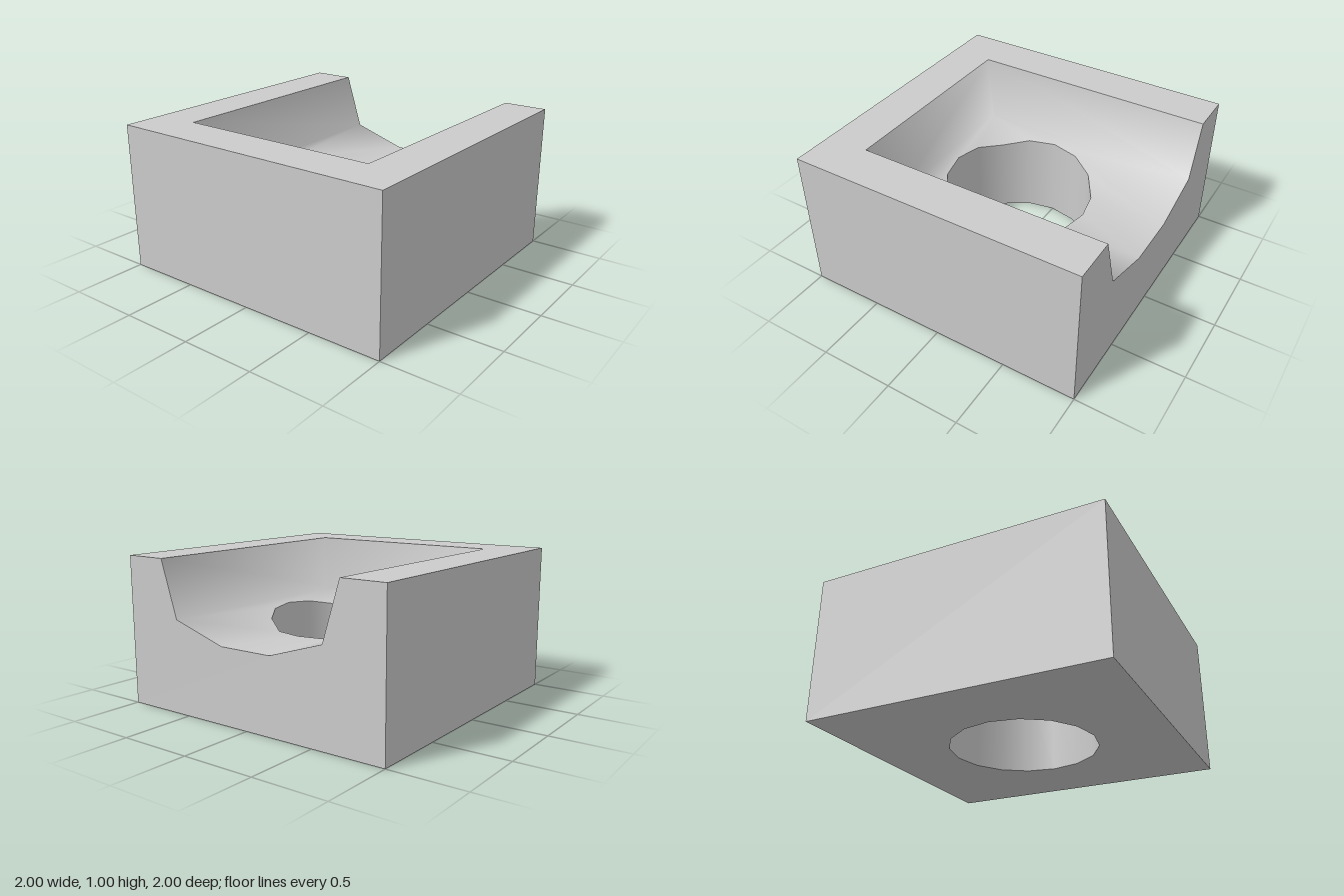
import * as THREE from 'three';
import { mergeGeometries, mergeVertices } from 'three/addons/utils/BufferGeometryUtils.js';

// half-section of the trough: distance from the centre, height
const A = 0.19134, B = 0.58, C = 0.7, R = 0.5;
const LOW = 0.5, MID = 0.62, TOP = 1;

function profile(d) {
  if (d <= A) return LOW;
  if (d <= B) return LOW + (MID - LOW) * (d - A) / (B - A);
  return MID + (TOP - MID) * (d - B) / (C - B);
}
// trough runs along z, open at the back and mitred into a front wall
const floorHeight = (x, z) => Math.max(profile(Math.abs(x)), profile(Math.max(z, 0)));

const shapeOf = (pts) => new THREE.Shape(pts.map(([x, y]) => new THREE.Vector2(x, y)));
const rim = (i) => [R * Math.cos(i * Math.PI / 8), R * Math.sin(i * Math.PI / 8)];
const rims = (list) => list.map(rim);
const mirror = (pts) => pts.map(([x, z]) => [-x, z]);

// upward facing panel from an outline in x and z
const panel = (pts) => new THREE.ShapeGeometry(shapeOf(pts.map(([x, z]) => [x, -z]))).rotateX(-Math.PI / 2);

export function createModel() {
  const group = new THREE.Group();
  const grey = new THREE.MeshStandardMaterial({ color: 0xcccccc });
  const add = (name, geometry, material = grey) => {
    const mesh = new THREE.Mesh(geometry, material);
    mesh.name = name;
    group.add(mesh);
    return mesh;
  };

  // outer walls
  add('frontWall', new THREE.PlaneGeometry(2, 1)).position.set(0, 0.5, 1);
  for (const s of [-1, 1]) {
    const side = add(s > 0 ? 'leftWall' : 'rightWall', new THREE.PlaneGeometry(2, 1));
    side.rotation.y = s * Math.PI / 2;
    side.position.set(s, 0.5, 0);
  }

  // back wall with the trough section cut out
  const section = [[-C, TOP], [-B, MID], [-A, LOW], [A, LOW], [B, MID], [C, TOP]];
  add('backWall', new THREE.ShapeGeometry(shapeOf([[-1, 0], [1, 0], [1, 1], ...section.slice().reverse(), [-1, 1]]))
    .rotateY(Math.PI).translate(0, 0, -1));

  // U-shaped top rim
  add('topRim', panel([[-1, -1], [-C, -1], [-C, C], [C, C], [C, -1], [1, -1], [1, 1], [-1, 1]]).translate(0, 1, 0));

  // underside with the round opening
  const base = shapeOf([[-1, -1], [1, -1], [1, 1], [-1, 1]]);
  base.holes.push(new THREE.Path(Array.from({ length: 16 }, (_, i) => new THREE.Vector2(...rim(i)))));
  add('underside', new THREE.ShapeGeometry(base).rotateX(Math.PI / 2));

  // trough: panels around the hole, lifted to the section and smoothed together
  const sidePanel = [[A, -1], [B, -1], [B, B], ...rims([2, 1, 0, 15, 14, 13])];
  const sideSlope = [[B, -1], [C, -1], [C, C], [B, B]];
  const outlines = [
    [[-A, -1], [A, -1], ...rims([13, 12, 11])],
    [[B, B], [-B, B], ...rims([6, 5, 4, 3, 2])],
    [[-B, B], [B, B], [C, C], [-C, C]],
    sidePanel, mirror(sidePanel), sideSlope, mirror(sideSlope),
  ];
  let trough = mergeGeometries(outlines.map(panel));
  trough.deleteAttribute('uv');
  trough.deleteAttribute('normal');
  const p = trough.attributes.position;
  for (let i = 0; i < p.count; i++) p.setY(i, floorHeight(p.getX(i), p.getZ(i)));
  trough = mergeVertices(trough, 1e-4);
  trough.computeVertexNormals();
  add('trough', trough);

  // wall of the round hole, its upper edge following the trough
  const bore = new THREE.CylinderGeometry(R, R, 1, 16, 1, true);
  const q = bore.attributes.position;
  for (let i = 0; i < q.count; i++) {
    q.setY(i, q.getY(i) > 0 ? floorHeight(q.getX(i), q.getZ(i)) : 0);
  }
  add('holeWall', bore, new THREE.MeshStandardMaterial({ color: 0xcccccc, side: THREE.BackSide }));

  return group;
}
